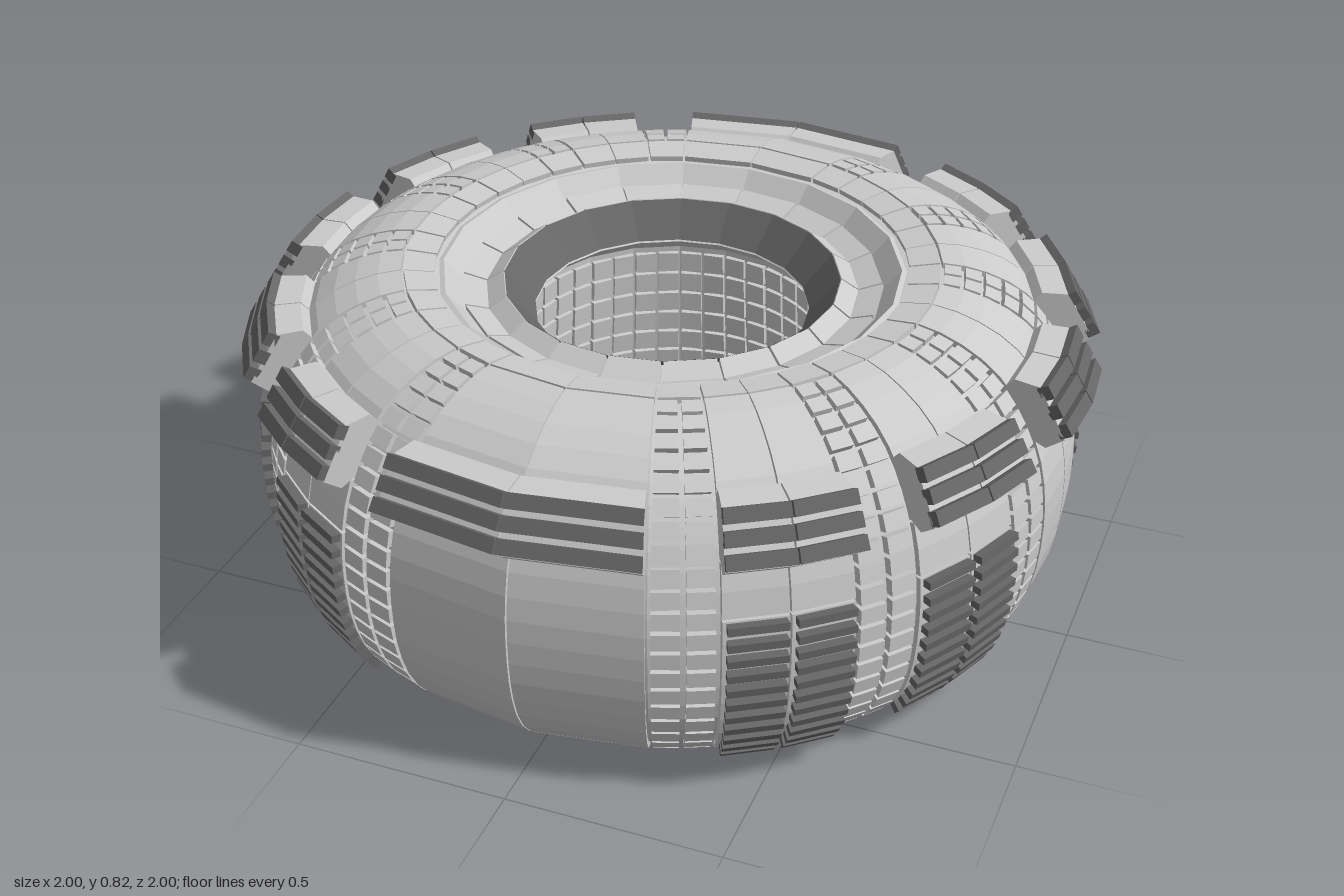
import * as THREE from 'three';
import { mergeGeometries } from 'three/addons/utils/BufferGeometryUtils.js';

const RAD = Math.PI / 180;
const curveOf = (pts) => new THREE.CatmullRomCurve3(pts.map(([r, y]) => new THREE.Vector3(r, y, 0)));

// Cross-section of the ring as [radius, height]: over the outside, then up the inner wall
const outer = curveOf([[0.54, 0.81], [0.63, 0.82], [0.73, 0.797], [0.815, 0.75], [0.88, 0.675], [0.925, 0.585],
  [0.95, 0.48], [0.955, 0.38], [0.945, 0.26], [0.915, 0.16], [0.865, 0.085], [0.8, 0.038], [0.71, 0.01], [0.62, 0]]);
const inner = curveOf([[0.435, 0.07], [0.41, 0.16], [0.385, 0.32], [0.37, 0.48], [0.36, 0.65]]);

// Point on a curve pushed out along its normal by h
function at(curve, u, h) {
  const p = curve.getPointAt(u), t = curve.getTangentAt(u);
  return [p.x - t.y * h, p.y + t.x * h];
}

// Strip of plating following a curve from u0 to u1, between two offsets
function strip(curve, u0, u1, h0, h1, n = 1) {
  const top = [], bottom = [];
  for (let i = 0; i <= n; i++) {
    const u = u0 + (u1 - u0) * i / n;
    top.push(at(curve, u, h1));
    bottom.unshift(at(curve, u, h0));
  }
  return [...top, ...bottom];
}

// Solid swept around the y axis: clockwise [radius, height] outline from angle a0 to a1 (degrees from the front)
function sweep(outline, a0, a1) {
  const pos = [];
  const add = ([r, y], a) => pos.push(r * Math.sin(a * RAD), y, r * Math.cos(a * RAD));
  outline.forEach((p, i) => {
    const q = outline[(i + 1) % outline.length];
    add(p, a0); add(q, a0); add(p, a1);
    add(q, a0); add(q, a1); add(p, a1);
  });
  const flat = outline.map(([r, y]) => new THREE.Vector2(r, y));
  for (const t of THREE.ShapeUtils.triangulateShape(flat, [])) {
    const [a, b, c] = t.map((k) => flat[k]);
    const clockwise = (b.x - a.x) * (c.y - a.y) - (b.y - a.y) * (c.x - a.x) < 0;
    const f = (clockwise ? t : [t[0], t[2], t[1]]).map((k) => outline[k]);
    f.forEach((p) => add(p, a1));
    [f[0], f[2], f[1]].forEach((p) => add(p, a0));
  }
  const g = new THREE.BufferGeometry();
  g.setAttribute('position', new THREE.Float32BufferAttribute(pos, 3));
  g.computeVertexNormals();
  return g;
}

export function createModel() {
  const group = new THREE.Group();
  const grey = new THREE.MeshStandardMaterial({ color: 0xcccccc, flatShading: true });
  const dark = new THREE.MeshStandardMaterial({ color: 0x666666, flatShading: true });
  const addPart = (name, geometry, material = grey) => {
    const mesh = new THREE.Mesh(geometry, material);
    mesh.name = name;
    group.add(mesh);
  };

  // Hull under the plating, with a trough and raised collar around the top opening
  const loop = [];
  for (let i = 0; i <= 26; i++) loop.push(at(outer, i / 26, -0.014));
  loop.push([0.53, 0.012], [0.5, 0.035], [0.455, 0.05]);
  for (let i = 0; i <= 6; i++) loop.push(at(inner, i / 6, -0.01));
  loop.push([0.32, 0.69], [0.386, 0.76], [0.43, 0.735], [0.49, 0.755], [0.53, 0.8], loop[0]);
  addPart('hull', new THREE.LatheGeometry(loop.map(([r, y]) => new THREE.Vector2(r, y)).reverse(), 20));

  // Dark funnel inside the top opening
  const funnel = [[0.39, 0.772], [0.32, 0.695]].map(([r, y]) => new THREE.Vector2(r, y));
  const funnelMaterial = dark.clone();
  funnelMaterial.side = THREE.DoubleSide;
  addPart('funnel', new THREE.LatheGeometry(funnel, 20), funnelMaterial);

  const panels = [], blocks = [], ribs = [], louvers = [], tiles = [], rim = [], wall = [], windows = [], base = [];

  // Plated sections: two wide, two plain and eight louvered, each in two halves
  const blockOutline = [[0.83, 0.72], [0.855, 0.748], [0.915, 0.745], [0.982, 0.632], [0.94, 0.598], [0.88, 0.62]];
  for (const c of [0, 36, 63, 90, 117, 144, 180, 216, 243, 270, 297, 324]) {
    const half = c % 180 === 0 ? 18 : 9;
    const louvered = c % 90 !== 0;
    for (const side of [-1, 0]) {
      const a0 = c + side * half + (side ? 0.3 : 0.12);
      const a1 = c + (side + 1) * half - (side ? 0.12 : 0.3);
      const rows = louvered
        ? [[0.005, 0.06, 1], [0.065, 0.36, 7], [0.365, 0.46, 2], [0.465, 0.8, 8], [0.805, 0.9, 2], [0.905, 0.995, 1]]
        : [[0.005, 0.06, 1], [0.065, 0.36, 7], [0.362, 0.8, 10], [0.805, 0.9, 2], [0.905, 0.995, 1]];
      for (const [u0, u1, n] of rows) panels.push(sweep(strip(outer, u0, u1, -0.03, 0, n), a0, a1));

      // Flared shoulder block with three ribs along its sloping face
      blocks.push(sweep(blockOutline, a0, a1));
      for (let k = 0; k < 3; k++) {
        const p = (t, h) => [0.915 + 0.068 * t + 0.86 * h, 0.745 - 0.113 * t + 0.51 * h];
        const t0 = k * 0.36, t1 = t0 + 0.25;
        ribs.push(sweep([p(t0, -0.01), p(t0, 0.02), p(t1, 0.02), p(t1, -0.01)], a0, a1));
      }

      // Horizontal slats
      for (let k = 0; louvered && k < 11; k++) {
        const u = 0.468 + k * 0.0305;
        louvers.push(sweep(strip(outer, u, u + 0.014, -0.01, 0.022), a0 + 0.5, a1 - 0.4));
      }
    }
  }

  // Tiled columns between the sections, with a plain plate at the top
  for (const base0 of [22.5, 49.5, 76.5, 103.5, 130.5, 157.5]) {
    for (const c of [base0, 360 - base0]) {
      panels.push(sweep(strip(outer, 0.005, 0.06, -0.03, 0), c - 4.2, c + 4.2));
      for (let col = -1; col <= 0; col++) {
        const a0 = c + col * 4.5 + 0.4, a1 = a0 + 3.7;
        for (let k = 0; k < 24; k++) {
          const u = 0.068 + k * 0.038;
          tiles.push(sweep(strip(outer, u, u + 0.03, -0.03, 0), a0, a1));
        }
      }
    }
  }

  // Collar plates, inner wall tiles, wall windows and underside plates
  const lip = [[0.385, 0.755], [0.392, 0.773], [0.432, 0.746], [0.486, 0.764], [0.486, 0.745], [0.43, 0.725]];
  for (let k = 0; k < 40; k++) {
    const a = k * 9;
    if (k % 2 === 0) {
      rim.push(sweep(lip, a + 0.4, a + 17.6));
      windows.push(sweep(strip(inner, 0.02, 0.17, -0.015, 0.008), a + 3, a + 13));
    }
    base.push(sweep([[0.54, 0.003], [0.54, 0.03], [0.6, 0.03], [0.6, 0.003]], a + 0.4, a + 8.6));
    for (let r = 0; r < 8; r++) {
      const u = 0.2 + r * 0.099;
      wall.push(sweep(strip(inner, u, u + 0.084, -0.015, 0.004), a + 0.6, a + 8.4));
    }
  }

  addPart('hullPanels', mergeGeometries(panels));
  addPart('shoulderBlocks', mergeGeometries(blocks));
  addPart('shoulderRibs', mergeGeometries(ribs), dark);
  addPart('louvers', mergeGeometries(louvers), dark);
  addPart('tileColumns', mergeGeometries(tiles));
  addPart('collarPlates', mergeGeometries(rim));
  addPart('innerWallTiles', mergeGeometries(wall));
  addPart('wallWindows', mergeGeometries(windows), dark);
  addPart('undersidePlates', mergeGeometries(base));
  return group;
}
